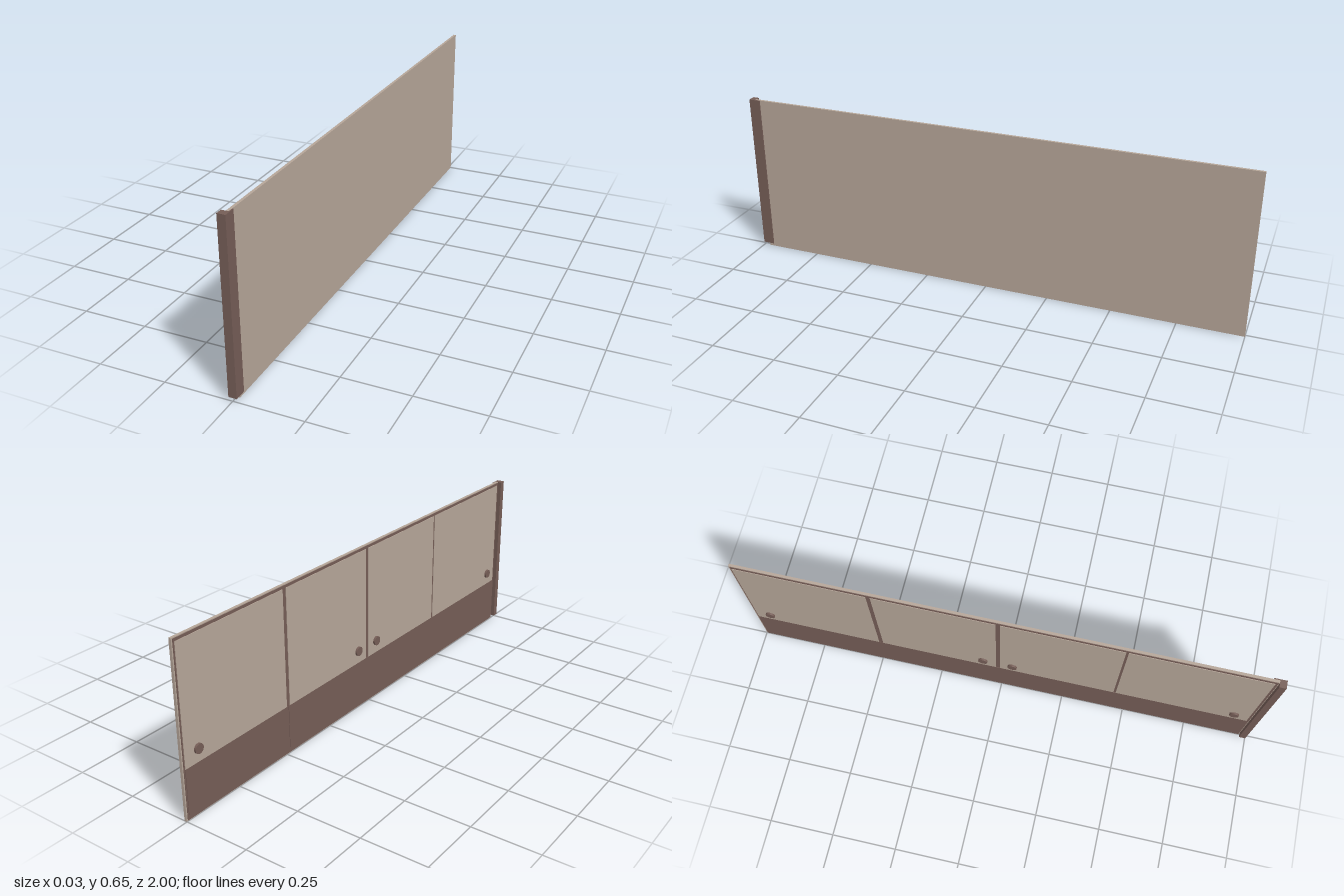
import * as THREE from 'three';

export function createModel() {
  const group = new THREE.Group();
  const beige = new THREE.MeshStandardMaterial({ color: 0xb5a598 });
  beige.name = 'beige laminate';
  const brown = new THREE.MeshStandardMaterial({ color: 0x755d56 });
  brown.name = 'brown wood';

  // Box given by its limits along each axis
  function box(name, material, [x0, x1], [y0, y1], [z0, z1]) {
    const mesh = new THREE.Mesh(new THREE.BoxGeometry(x1 - x0, y1 - y0, z1 - z0), material);
    mesh.position.set((x0 + x1) / 2, (y0 + y1) / 2, (z0 + z1) / 2);
    mesh.name = name;
    group.add(mesh);
  }

  const height = 0.645;

  // Main board, with a brown facing behind the doors
  box('board', beige, [0.001, 0.011], [0, height], [-1, 0.975]);
  box('facing', brown, [-0.001, 0.001], [0.003, height - 0.003], [-0.995, 0.972]);

  // Lower band, split under the first door gap, above a recessed foot strip
  const lower = [[-0.99, -0.488], [-0.484, 0.965]];
  for (const z of lower) box('lowerBand', brown, [-0.003, -0.001], [0.022, 0.19], z);

  // Four doors with dark gaps between them
  const doors = [[-0.99, -0.495], [-0.478, -0.022], [-0.006, 0.444], [0.453, 0.963]];
  for (const z of doors) box('door', beige, [-0.003, -0.001], [0.19, 0.632], z);

  // Round door knobs
  const knobGeometry = new THREE.CylinderGeometry(0.018, 0.018, 0.008, 24).rotateZ(Math.PI / 2);
  for (const z of [-0.93, -0.073, 0.043, 0.905]) {
    const knob = new THREE.Mesh(knobGeometry, brown);
    knob.position.set(-0.007, 0.24, z);
    knob.name = 'knob';
    group.add(knob);
  }

  // L-shaped end post wrapping the front edge
  const post = new THREE.Shape();
  [[-0.015, -1], [0.015, -1], [0.015, -0.955], [0.011, -0.955], [0.011, -0.975], [-0.015, -0.975]]
    .forEach(([x, y], i) => (i ? post.lineTo(x, y) : post.moveTo(x, y)));
  const postGeometry = new THREE.ExtrudeGeometry(post, { depth: height - 0.012, bevelEnabled: false });
  postGeometry.rotateX(-Math.PI / 2);
  const postMesh = new THREE.Mesh(postGeometry, brown);
  postMesh.position.y = 0.012;
  postMesh.name = 'endPost';
  group.add(postMesh);

  return group;
}
